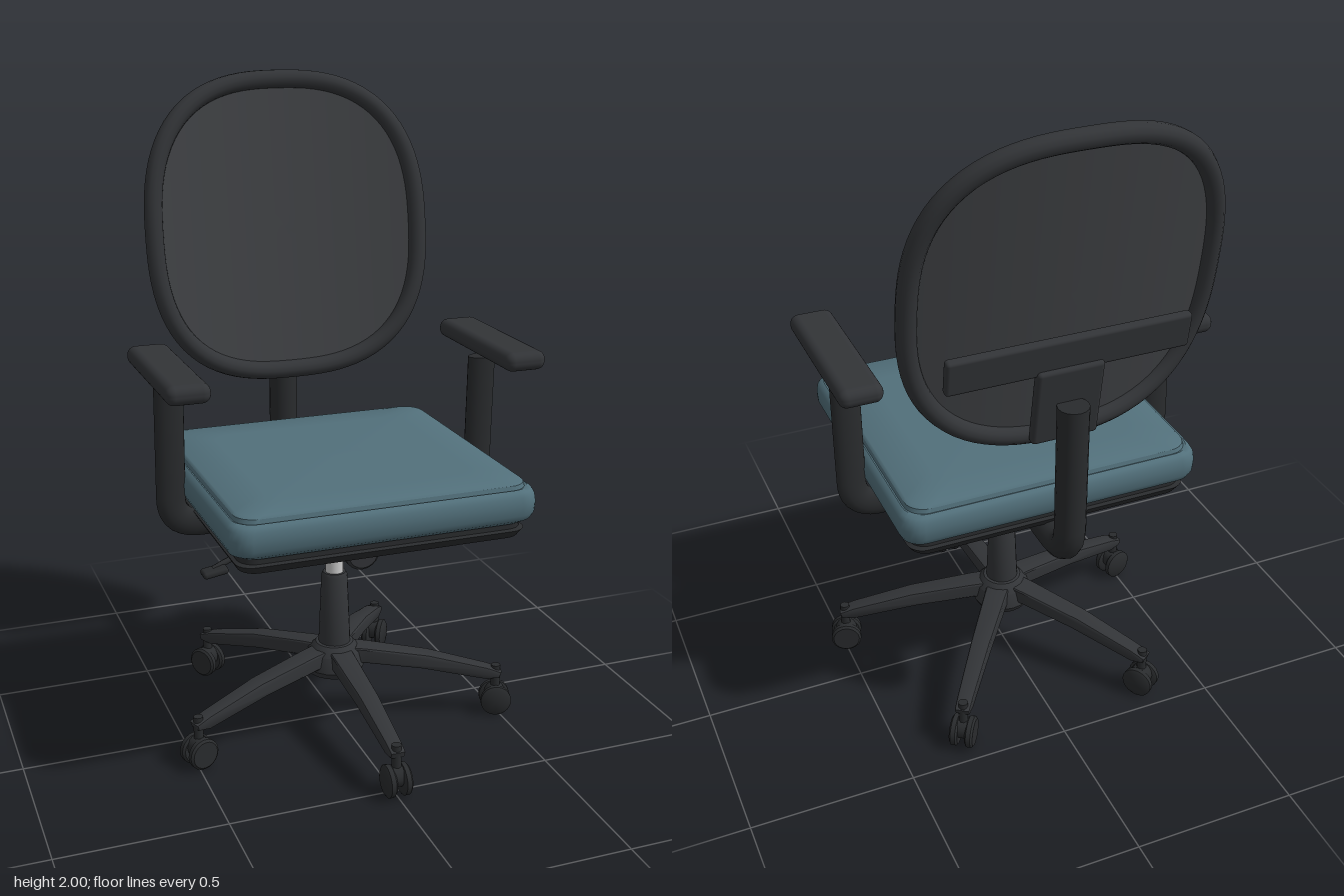
import * as THREE from 'three';
import { toCreasedNormals } from 'three/addons/utils/BufferGeometryUtils.js';
import { RoundedBoxGeometry } from 'three/addons/geometries/RoundedBoxGeometry.js';
import { ParametricGeometry } from 'three/addons/geometries/ParametricGeometry.js';

const V = (x, y, z) => new THREE.Vector3(x, y, z);
const mat = (color, side = THREE.FrontSide) => new THREE.MeshStandardMaterial({ color, side });
const dark = mat(0x323437);
const black = mat(0x292b2d);
const metal = mat(0xcccccc);
const fabric = mat(0x52707b);
const mesh3d = mat(0x3f4144, THREE.DoubleSide);

function add(parent, name, geometry, material, x = 0, y = 0, z = 0) {
  const m = new THREE.Mesh(geometry, material);
  m.name = name;
  m.position.set(x, y, z);
  parent.add(m);
  return m;
}

// Turned solid from [radius, y] pairs
function turned(profile, sides = 20) {
  const g = new THREE.LatheGeometry(profile.map(([r, y]) => new THREE.Vector2(r, y)), sides);
  return toCreasedNormals(g, 0.6);
}

// Rounded-rectangle layers [y, inset] stacked into a closed solid
function cushion(halfW, halfD, corner, layers) {
  const pos = [], idx = [], seg = 6, n = 4 * (seg + 1);
  for (const [y, inset] of layers) {
    const w = Math.max(halfW - inset, 0), d = Math.max(halfD - inset, 0);
    const r = Math.min(corner, w, d);
    for (let c = 0; c < 4; c++) {
      const sx = c === 0 || c === 3 ? 1 : -1, sz = c < 2 ? 1 : -1;
      for (let i = 0; i <= seg; i++) {
        const a = (c + i / seg) * Math.PI / 2;
        pos.push(sx * (w - r) + r * Math.cos(a), y, sz * (d - r) + r * Math.sin(a));
      }
    }
  }
  for (let l = 0; l < layers.length - 1; l++) {
    for (let i = 0; i < n; i++) {
      const a = l * n + i, b = l * n + (i + 1) % n;
      idx.push(a, a + n, b, b, a + n, b + n);
    }
  }
  // Fan caps on the first and last layer
  const top = (layers.length - 1) * n;
  for (let i = 1; i < n - 1; i++) idx.push(0, i, i + 1, top, top + i + 1, top + i);
  const g = new THREE.BufferGeometry();
  g.setAttribute('position', new THREE.Float32BufferAttribute(pos, 3));
  g.setIndex(idx);
  return toCreasedNormals(g, 0.7);
}

// Capped tube with one rounded bend
function bentTube(parent, name, a, corner, b, bend, radius, material) {
  const toward = (p) => corner.clone().add(p.clone().sub(corner).setLength(bend));
  const path = new THREE.CurvePath();
  path.add(new THREE.LineCurve3(a, toward(a)));
  path.add(new THREE.QuadraticBezierCurve3(toward(a), corner, toward(b)));
  path.add(new THREE.LineCurve3(toward(b), b));
  const group = new THREE.Group();
  group.name = name;
  add(group, name + 'Tube', new THREE.TubeGeometry(path, 32, radius, 16), material);
  for (const [p, away] of [[a, corner], [b, corner]]) {
    const cap = add(group, name + 'Cap', new THREE.CircleGeometry(radius, 16), material, p.x, p.y, p.z);
    cap.lookAt(p.clone().multiplyScalar(2).sub(away));
  }
  parent.add(group);
  return group;
}

// Point on the tilted, curved backrest: s is 0 at the centre, 1 at the rim
function backPoint(angle, s) {
  const se = (v) => Math.sign(v) * Math.abs(v) ** (2 / 2.6);
  const x = 0.44 * s * se(Math.cos(angle)), h = 0.457 * s * se(Math.sin(angle));
  return V(x, 1.515 + h, -0.465 - 0.16 * h + 0.27 * x * x);
}

function buildBackrest(parent) {
  const rim = [];
  for (let i = 0; i < 48; i++) rim.push(backPoint(i / 48 * Math.PI * 2, 1));
  const curve = new THREE.CatmullRomCurve3(rim, true);
  add(parent, 'backrestFrame', new THREE.TubeGeometry(curve, 96, 0.029, 12, true), dark);
  const panel = new ParametricGeometry((u, v, t) => t.copy(backPoint(u * Math.PI * 2, Math.max(v, 0.001))), 64, 10);
  add(parent, 'backrestPanel', panel, mesh3d);
  // Lumbar bar, its bracket and the post that carries them
  add(parent, 'lumbarBar', new RoundedBoxGeometry(0.72, 0.11, 0.03, 2, 0.01), dark, 0, 1.34, -0.467).rotation.x = -0.16;
  add(parent, 'backBracket', new RoundedBoxGeometry(0.2, 0.25, 0.035, 2, 0.012), dark, 0, 1.18, -0.452).rotation.x = -0.16;
  bentTube(parent, 'backPost', V(0, 0.685, -0.15), V(0, 0.685, -0.497), V(0, 1.19, -0.497), 0.1, 0.046, black);
}

function buildArm(parent, side) {
  const arm = new THREE.Group();
  arm.name = side > 0 ? 'leftArm' : 'rightArm';
  add(arm, 'armPad', new RoundedBoxGeometry(0.13, 0.058, 0.51, 4, 0.026), dark, side * 0.515, 1.193, 0.005);
  const post = bentTube(arm, 'armPost', V(side * 0.38, 0, 0), V(side * 0.505, 0, 0), V(side * 0.505, 0.44, 0), 0.09, 0.045, black);
  post.scale.z = 0.6;
  post.position.set(0, 0.705, -0.05);
  post.rotation.x = 0.04;
  parent.add(arm);
}

function buildSeat(parent) {
  add(parent, 'seatCushion', cushion(0.467, 0.447, 0.06, [
    [0.768, 0.03], [0.782, 0.01], [0.8, 0.002], [0.83, 0], [0.855, 0.003], [0.868, 0.01],
    [0.874, 0.02], [0.872, 0.025], [0.885, 0.028], [0.891, 0.036], [0.897, 0.15], [0.902, 0.3], [0.904, 0.42],
  ]), fabric, 0, 0, 0.028);
  add(parent, 'seatPan', cushion(0.445, 0.425, 0.05, [
    [0.717, 0.03], [0.722, 0.018], [0.745, 0.005], [0.75, 0.015], [0.77, 0.015],
  ]), black, 0, 0, 0.028);
}

function buildMechanism(parent) {
  add(parent, 'tiltBox', new RoundedBoxGeometry(0.32, 0.08, 0.36, 3, 0.015), black, 0, 0.67, 0);
  const knob = turned([[0, -0.035], [0.046, -0.035], [0.055, -0.025], [0.055, 0.025], [0.046, 0.035], [0, 0.035]]);
  add(parent, 'tensionKnob', knob, dark, 0, 0.655, 0.215).rotation.x = Math.PI / 2;
  // Height lever with a small paddle
  const path = new THREE.CatmullRomCurve3([V(-0.12, 0.683, 0.1), V(-0.26, 0.683, 0.16), V(-0.4, 0.683, 0.22), V(-0.46, 0.668, 0.24)]);
  add(parent, 'heightLever', new THREE.TubeGeometry(path, 20, 0.009, 8), black);
  add(parent, 'leverPaddle', new RoundedBoxGeometry(0.075, 0.02, 0.05, 2, 0.009), black, -0.455, 0.664, 0.245).rotation.z = 0.15;
  // Gas lift and its sleeve
  add(parent, 'gasLift', new THREE.CylinderGeometry(0.028, 0.028, 0.2, 20), metal, 0, 0.56, 0);
  add(parent, 'column', turned([[0, 0.2], [0.052, 0.2], [0.05, 0.28], [0.041, 0.49], [0.036, 0.5], [0, 0.5]]), dark);
}

function buildCaster(parent) {
  const caster = new THREE.Group();
  caster.name = 'caster';
  caster.position.x = 0.52;
  add(caster, 'casterStem', new THREE.CylinderGeometry(0.015, 0.015, 0.1, 10), black, 0, 0.115, 0);
  const wheel = turned([[0, -0.013], [0.042, -0.013], [0.049, -0.007], [0.049, 0.007], [0.04, 0.013], [0, 0.013]]);
  for (const s of [-1, 1]) add(caster, 'wheel', wheel, black, 0, 0.05, s * 0.024).rotation.x = Math.PI / 2;
  // Hood between and above the wheels
  const hood = new THREE.CylinderGeometry(0.034, 0.034, 0.03, 16);
  add(caster, 'casterHood', hood, black, 0, 0.064, 0).rotation.x = Math.PI / 2;
  parent.add(caster);
}

function buildBase(parent) {
  const base = new THREE.Group();
  base.name = 'base';
  add(base, 'hub', turned([[0, 0.165], [0.085, 0.165], [0.095, 0.185], [0.085, 0.235], [0.06, 0.262], [0, 0.27]]), dark);
  // Leg side profile, narrowed in width toward its tip
  const side = new THREE.Shape([[0.04, 0.2], [0.1, 0.195], [0.28, 0.17], [0.49, 0.125], [0.53, 0.13],
    [0.535, 0.145], [0.49, 0.162], [0.3, 0.212], [0.1, 0.243], [0.04, 0.25]].map(([x, y]) => new THREE.Vector2(x, y)));
  const leg = new THREE.ExtrudeGeometry(side, { depth: 0.05, bevelSize: 0.006, bevelThickness: 0.01, bevelSegments: 2, bevelOffset: -0.004 });
  leg.translate(0, 0, -0.025);
  const p = leg.attributes.position;
  for (let i = 0; i < p.count; i++) p.setZ(i, p.getZ(i) * (1.1 - 0.8 * p.getX(i)));
  const legGeometry = toCreasedNormals(leg, 0.6);
  for (let i = 0; i < 5; i++) {
    const spoke = new THREE.Group();
    spoke.name = 'spoke' + (i + 1);
    spoke.rotation.y = -Math.PI / 2 + i * Math.PI * 2 / 5;
    add(spoke, 'leg', legGeometry, dark);
    buildCaster(spoke);
    base.add(spoke);
  }
  parent.add(base);
}

export function createModel() {
  const chair = new THREE.Group();
  chair.name = 'officeChair';
  buildBackrest(chair);
  buildSeat(chair);
  buildArm(chair, 1);
  buildArm(chair, -1);
  buildMechanism(chair);
  buildBase(chair);
  return chair;
}
